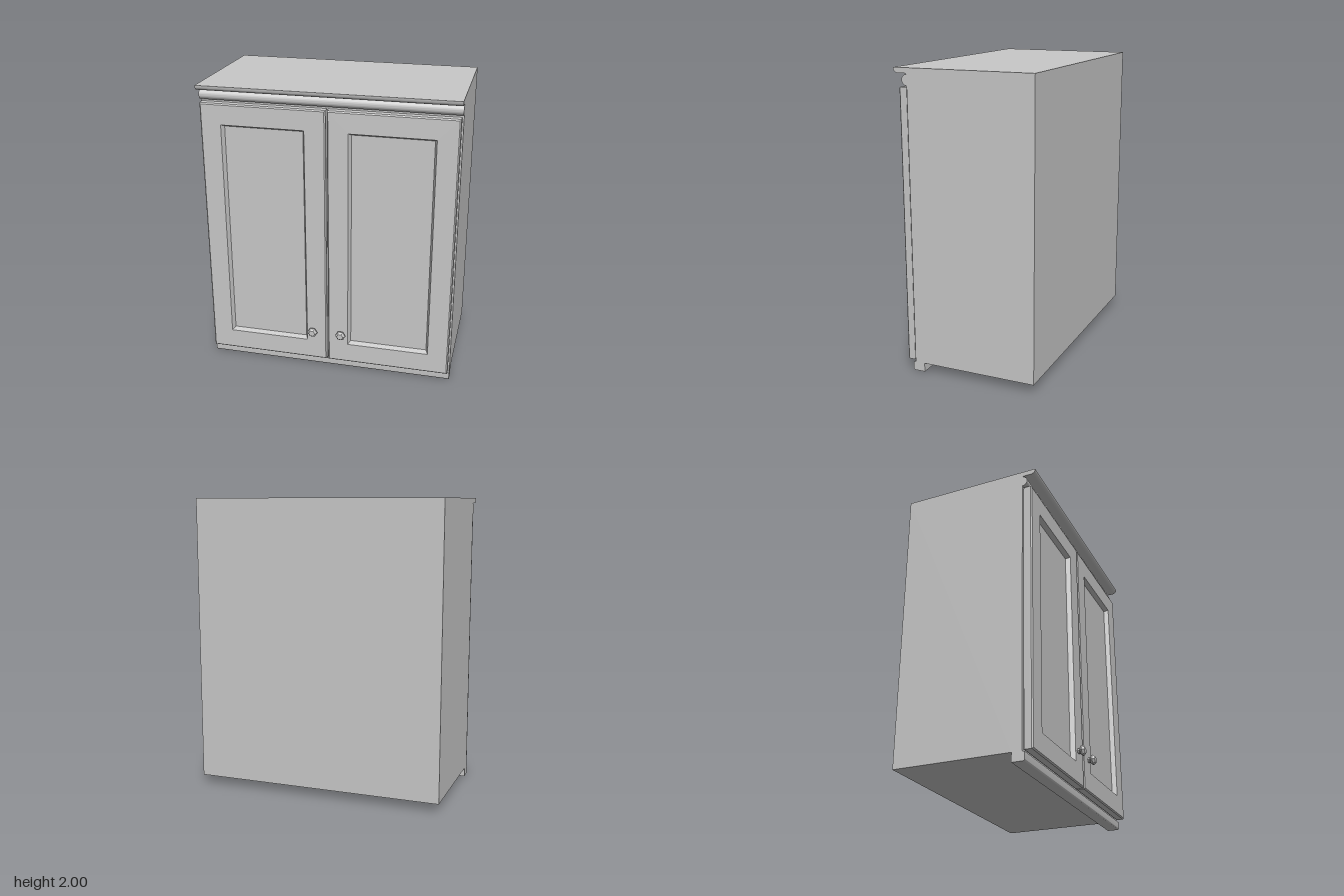
import * as THREE from 'three';
import { toCreasedNormals } from 'three/addons/utils/BufferGeometryUtils.js';

const W = 0.855;

// Side outline (z, y) of carcass, plinth and crown moulding, extruded across the width
function carcassGeometry() {
  const s = new THREE.Shape();
  s.moveTo(-0.48, 0.06);
  s.lineTo(0.303, 0.06);
  s.lineTo(0.303, 0);
  s.lineTo(0.375, 0);
  s.quadraticCurveTo(0.386, 0.002, 0.386, 0.014);
  s.lineTo(0.386, 0.055);
  s.lineTo(0.37, 0.06);
  s.lineTo(0.37, 1.89);
  s.absarc(0.37, 1.925, 0.035, -Math.PI / 2, Math.PI / 2, false); // half-round bead
  s.lineTo(0.383, 1.966);
  s.lineTo(0.437, 1.966);
  s.quadraticCurveTo(0.457, 1.972, 0.462, 1.988);
  s.lineTo(0.462, 2);
  s.lineTo(-0.48, 2);
  s.closePath();
  const g = new THREE.ExtrudeGeometry(s, { depth: 2 * W, bevelEnabled: false, curveSegments: 14 });
  g.translate(0, 0, -W);
  g.rotateY(-Math.PI / 2);
  return toCreasedNormals(g, 0.6);
}

// Door panel: nested rectangles [inset x, inset y, z] joined from the back face to the recessed panel
function doorGeometry(w, h) {
  const rings = [
    [0.006, 0.006, 0.37], [0.006, 0.006, 0.378], [0, 0, 0.378], [0, 0, 0.424], [0.008, 0.008, 0.432],
    [0.14, 0.14, 0.432], [0.155, 0.155, 0.4],
  ].map(([ix, iy, z]) => {
    const a = w / 2 - ix, b = h / 2 - iy;
    return [[-a, -b, z], [a, -b, z], [a, b, z], [-a, b, z]];
  });
  const pos = [];
  const quad = (a, b, c, d) => pos.push(...a, ...b, ...c, ...a, ...c, ...d);
  for (let r = 0; r < rings.length - 1; r++) {
    for (let i = 0; i < 4; i++) {
      const j = (i + 1) % 4;
      quad(rings[r][i], rings[r][j], rings[r + 1][j], rings[r + 1][i]);
    }
  }
  quad(...rings[rings.length - 1]);
  quad(...[...rings[0]].reverse());
  const g = new THREE.BufferGeometry();
  g.setAttribute('position', new THREE.Float32BufferAttribute(pos, 3));
  g.computeVertexNormals();
  return g;
}

// Six-sided faceted knob pointing forward
function knobGeometry() {
  const profile = [[0, 0.482], [0.022, 0.482], [0.035, 0.466], [0.035, 0.457], [0.018, 0.445], [0.018, 0.43]]
    .reverse().map(([r, y]) => new THREE.Vector2(r, y));
  const g = new THREE.LatheGeometry(profile, 6, Math.PI / 6);
  g.rotateX(Math.PI / 2);
  return toCreasedNormals(g, 0.1);
}

export function createModel() {
  const group = new THREE.Group();
  const paint = new THREE.MeshStandardMaterial({ color: 0xc8c8c8 });
  paint.name = 'light grey paint';

  const add = (name, geometry, x = 0, y = 0) => {
    const mesh = new THREE.Mesh(geometry, paint);
    mesh.name = name;
    mesh.position.set(x, y, 0);
    group.add(mesh);
  };

  add('carcass', carcassGeometry());

  // Mirrored doors and knobs
  const door = doorGeometry(0.84, 1.81);
  const knob = knobGeometry();
  for (const [side, sx] of [['left', 1], ['right', -1]]) {
    add(side + 'Door', door, sx * 0.425, 0.975);
    add(side + 'Knob', knob, sx * 0.1, 0.29);
  }
  return group;
}
